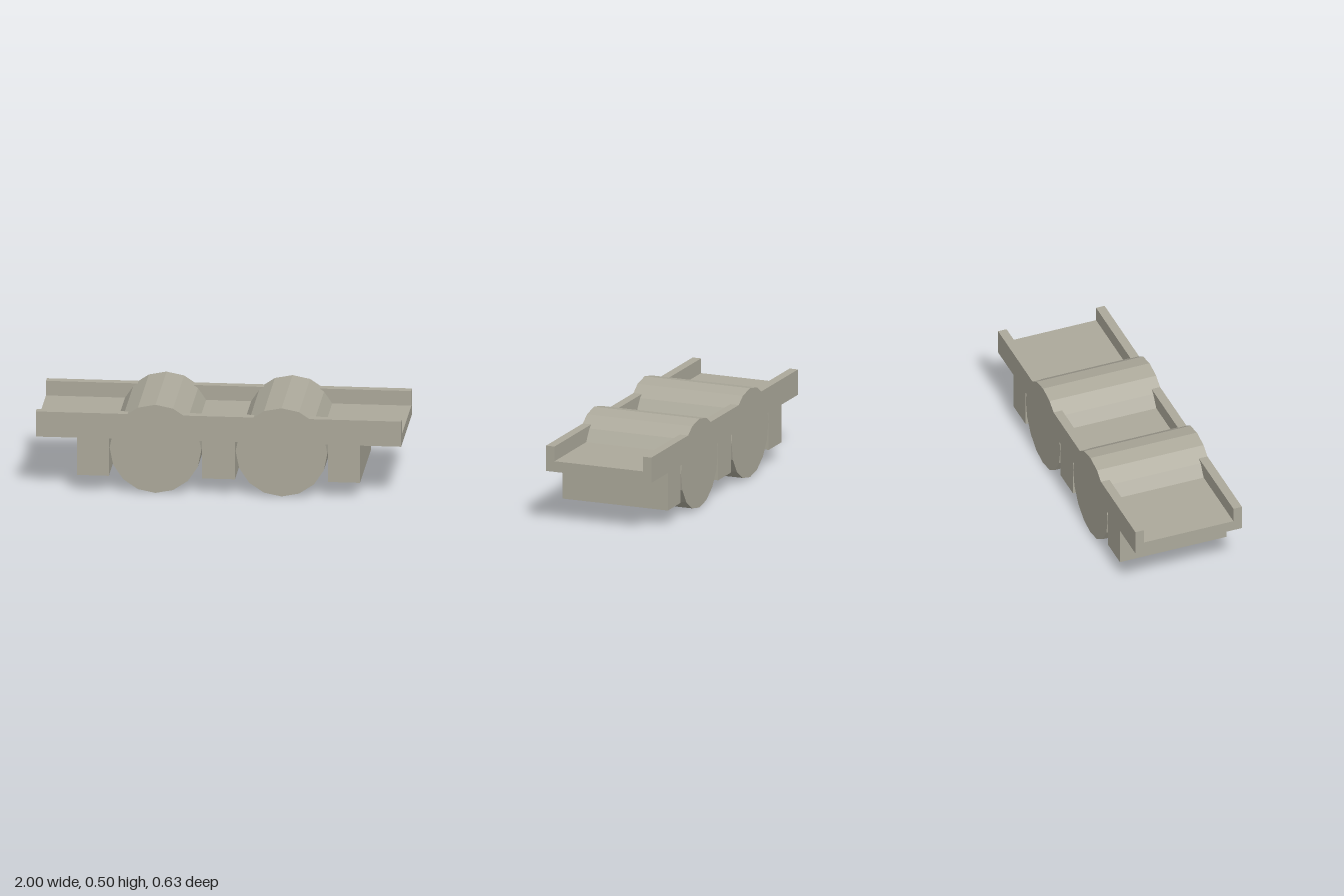
import * as THREE from 'three';

export function createModel() {
  const group = new THREE.Group();
  const grey = new THREE.MeshStandardMaterial({ color: 0xaca99b, flatShading: true });
  grey.name = 'warm grey';

  const halfWidth = 0.313;
  const add = (name, geometry, x = 0, y = 0, z = 0) => {
    const mesh = new THREE.Mesh(geometry, grey);
    mesh.name = name;
    mesh.position.set(x, y, z);
    group.add(mesh);
  };

  // Channel-shaped deck: floor with a raised rail along each side
  const rail = halfWidth - 0.05, bottom = 0.302, floor = 0.362, top = 0.445;
  const section = new THREE.Shape([
    [-halfWidth, bottom], [halfWidth, bottom], [halfWidth, top], [rail, top],
    [rail, floor], [-rail, floor], [-rail, top], [-halfWidth, top],
  ].map(([x, y]) => new THREE.Vector2(x, y)));
  const deck = new THREE.ExtrudeGeometry(section, { depth: 2, bevelEnabled: false });
  deck.translate(0, 0, -1).rotateY(Math.PI / 2);
  add('deck', deck);

  // Sixteen-sided rollers across the full width
  const roller = new THREE.CylinderGeometry(0.251, 0.251, halfWidth * 2, 16);
  roller.rotateX(Math.PI / 2);
  add('rightRoller', roller, -0.345, 0.251);
  add('leftRoller', roller, 0.345, 0.251);

  // Blocks hanging below the deck, beside and between the rollers
  const blocks = [['rightBlock', -0.775, -0.6], ['middleBlock', -0.09, 0.09], ['leftBlock', 0.6, 0.775]];
  for (const [name, x0, x1] of blocks) {
    add(name, new THREE.BoxGeometry(x1 - x0, bottom - 0.09, halfWidth * 2), (x0 + x1) / 2, (bottom + 0.09) / 2);
  }

  return group;
}
